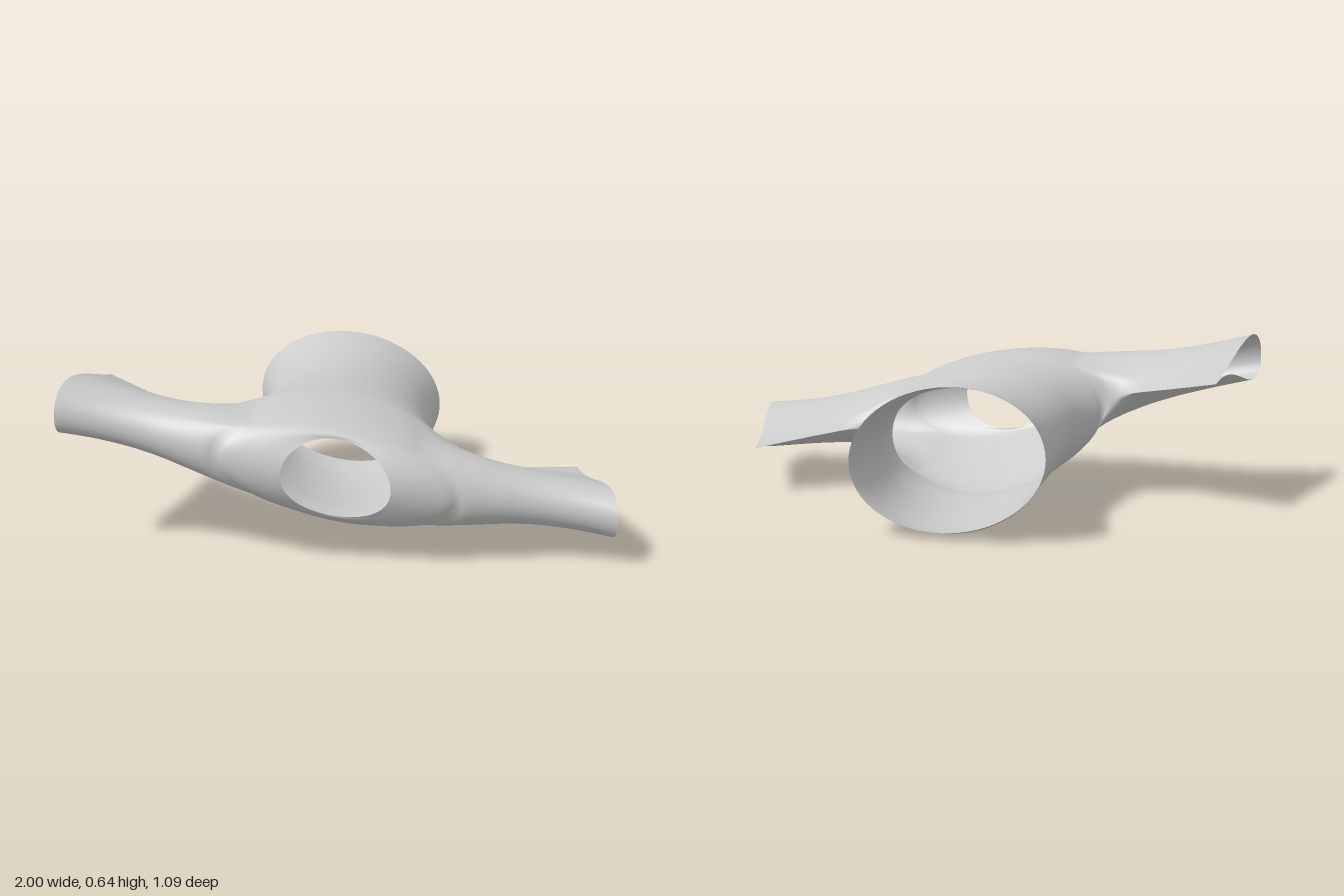
import * as THREE from 'three';

// Torso stations from hem to neck: z, half width, lowest y, highest y, sideways slope, bow of the rim at the sides, rim slant
const STATIONS = [
  [-0.525, 0.36, 0.03, 0.57, 0.08, 0, -0.02],
  [-0.4, 0.335, 0.005, 0.54, 0.08, 0, 0],
  [-0.2, 0.33, 0.01, 0.53, 0.08, 0, 0],
  [0, 0.355, 0.03, 0.545, 0.1, 0, 0],
  [0.1, 0.39, 0.03, 0.553, 0.12, 0, 0],
  [0.17, 0.435, 0.045, 0.557, 0.14, 0, 0],
  [0.26, 0.45, 0.08, 0.553, 0.165, 0, 0],
  [0.36, 0.45, 0.125, 0.54, 0.175, 0.01, 0],
  [0.44, 0.43, 0.163, 0.522, 0.175, 0.05, 0],
  [0.475, 0.33, 0.185, 0.504, 0.15, 0.05, 0],
  [0.48, 0.195, 0.195, 0.488, 0.12, 0.06, 0],
];
const SUB = 4, COLS = 64;                    // rows per station, columns round the torso
const ROWS = (STATIONS.length - 1) * SUB;
const HOLE = { row0: 5 * SUB, row1: 8 * SUB, half: 8 }; // armhole block in the torso grid
const SLEEVE_RINGS = 16;
const { lerp, smoothstep } = THREE.MathUtils;

// Catmull-Rom blend of the station values
function stationAt(row) {
  const n = STATIONS.length - 1;
  const k = Math.min(Math.floor(row / SUB), n - 1), t = row / SUB - k;
  const [a, b, c, d] = [k - 1, k, k + 1, k + 2].map(i => STATIONS[Math.max(0, Math.min(n, i))]);
  return b.map((_, i) => 0.5 * (2 * b[i] + (c[i] - a[i]) * t
    + (2 * a[i] - 5 * b[i] + 4 * c[i] - d[i]) * t * t
    + (3 * b[i] - a[i] - 3 * c[i] + d[i]) * t * t * t));
}

function torsoPoint(row, col) {
  const [z, w, lo, hi, slope, bow, slant] = stationAt(row);
  const a = col / COLS * Math.PI * 2, c = Math.cos(a), s = Math.sin(a);
  const x = w * c;
  return [x, (lo + hi) / 2 + (hi - lo) / 2 * s - slope * x, z + bow * c * c + slant * s];
}

// Flattened sleeve section: round at the front, narrowing to a sharp fold at the back
function sleevePoint(side, t, phi) {
  const c = Math.cos(phi);
  const back = lerp(0.15, -0.07, t), front = 0.52 - 0.22 * t + 0.17 * t * t;
  const z = (front + back) / 2 + (front - back) / 2 * c;
  const endX = 0.89 + 0.11 * (z + 0.07) / 0.54;
  const midY = side > 0 ? lerp(0.265, 0.188, t) : lerp(0.42, 0.565, t) - (0.03 - 0.005 * c) * t * c * c;
  const halfY = 0.0875 + 0.05 * (1 - t) ** 3;
  const taper = lerp(1.16, 1.75, t) * ((1 + c) / 2 + 0.003) ** lerp(0.25, 1.5, t);
  return [side * lerp(0.44, endX, t), midY + halfY * Math.sin(phi) * taper, z];
}

// Armhole edge as [row, offset] steps, from the front corner over the top and round
function armholeLoop() {
  const { row0, row1, half } = HOLE, loop = [];
  for (let j = -half; j < half; j++) loop.push([row1, j]);
  for (let i = row1; i > row0; i--) loop.push([i, half]);
  for (let j = half; j > -half; j--) loop.push([row0, j]);
  for (let i = row0; i < row1; i++) loop.push([i, -half]);
  return loop;
}

function shirtGeometry() {
  const pos = [], index = [];
  const wrap = j => (j + COLS) % COLS;
  const id = (i, j) => i * COLS + wrap(j);

  // torso grid, leaving out both armholes
  const inHole = (i, j) => {
    if (i < HOLE.row0 || i >= HOLE.row1) return false;
    const m = (j + 0.5) % (COLS / 2);
    return m < HOLE.half || m > COLS / 2 - HOLE.half;
  };
  for (let i = 0; i <= ROWS; i++)
    for (let j = 0; j < COLS; j++) {
      pos.push(...torsoPoint(i, j));
      if (i < ROWS && !inHole(i, j)) {
        const a = id(i, j), b = id(i, j + 1), c = id(i + 1, j + 1), d = id(i + 1, j);
        index.push(a, b, d, b, c, d);
      }
    }

  // sleeves, grown out of the armhole edges
  const loop = armholeLoop(), midRow = (HOLE.row0 + HOLE.row1) / 2;
  for (const side of [1, -1]) {
    let ring = loop.map(([i, j]) => id(i, side > 0 ? j : COLS / 2 - j));
    const base = ring.map(v => pos.slice(v * 3, v * 3 + 3));
    for (let r = 1; r <= SLEEVE_RINGS; r++) {
      const t = r / SLEEVE_RINGS, mix = smoothstep(t, -0.1, 0.28);
      const next = loop.map(([i, j], k) => {
        const phi = Math.atan2(j / HOLE.half, (i - midRow) / (HOLE.row1 - midRow));
        const p = sleevePoint(side, t, phi);
        pos.push(...p.map((v, n) => lerp(base[k][n], v, mix)));
        return pos.length / 3 - 1;
      });
      ring.forEach((a, k) => {
        const m = (k + 1) % ring.length, b = ring[m], c = next[m], d = next[k];
        if (side > 0) index.push(a, d, b, b, d, c);
        else index.push(a, b, d, b, c, d);
      });
      ring = next;
    }
  }

  const geo = new THREE.BufferGeometry();
  geo.setAttribute('position', new THREE.Float32BufferAttribute(pos, 3));
  geo.setIndex(index);
  geo.computeVertexNormals();
  return geo;
}

export function createModel() {
  const group = new THREE.Group();
  group.name = 'shirt';
  const cloth = new THREE.MeshStandardMaterial({ color: 0xcccccc, side: THREE.DoubleSide });
  const shell = new THREE.Mesh(shirtGeometry(), cloth);
  shell.name = 'torsoAndSleeves';
  group.add(shell);
  return group;
}
